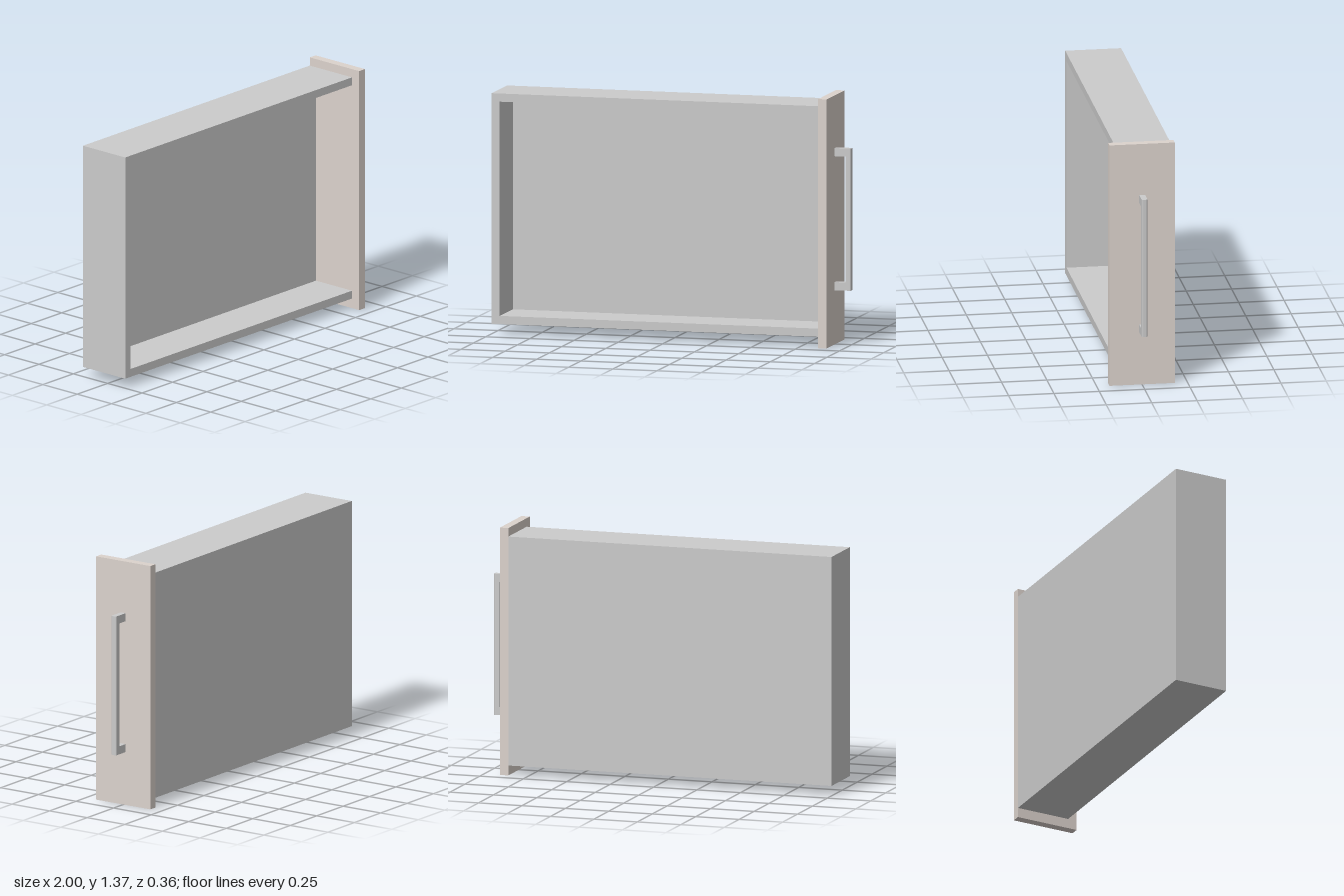
import * as THREE from 'three';

const grey = new THREE.MeshStandardMaterial({ color: 0xcccccc });
const beige = new THREE.MeshStandardMaterial({ color: 0xdcd3cd });

// Box given by its lower and upper corners
function slab(name, [x0, y0, z0], [x1, y1, z1], material = grey) {
  const mesh = new THREE.Mesh(new THREE.BoxGeometry(x1 - x0, y1 - y0, z1 - z0), material);
  mesh.name = name;
  mesh.position.set((x0 + x1) / 2, (y0 + y1) / 2, (z0 + z1) / 2);
  return mesh;
}

// Open tray lying on its side, opening towards +z
function createTray() {
  const x0 = -1, x1 = 0.86, y0 = 0.055, y1 = 1.323, z0 = -0.18, z1 = 0.128, t = 0.045;
  const rim = new THREE.Shape([
    [x0, y0], [x1, y0], [x1, y0 + t], [x0 + t, y0 + t],
    [x0 + t, y1 - t], [x1, y1 - t], [x1, y1], [x0, y1],
  ].map(([x, y]) => new THREE.Vector2(x, y)));
  const walls = new THREE.Mesh(
    new THREE.ExtrudeGeometry(rim, { depth: z1 - z0 - t, bevelEnabled: false }), grey);
  walls.name = 'drawerWalls';
  walls.position.z = z0 + t;

  const tray = new THREE.Group();
  tray.name = 'drawerTray';
  tray.add(walls, slab('drawerBottom', [x0, y0, z0], [x1, y1, z0 + t]));
  return tray;
}

// Pull handle: a bar with softened outer edges on two short legs
function createHandle() {
  const y0 = 0.298, y1 = 1.08, w = 0.016, inner = 0.968, outer = 1, r = 0.009;
  const section = new THREE.Shape();
  section.moveTo(inner, -w);
  section.lineTo(outer - r, -w);
  section.quadraticCurveTo(outer, -w, outer, -w + r);
  section.lineTo(outer, w - r);
  section.quadraticCurveTo(outer, w, outer - r, w);
  section.lineTo(inner, w);
  section.closePath();
  const bar = new THREE.Mesh(
    new THREE.ExtrudeGeometry(section, { depth: y1 - y0, bevelEnabled: false, curveSegments: 4 }), grey);
  bar.name = 'handleBar';
  bar.rotation.x = -Math.PI / 2;
  bar.position.y = y0;

  const handle = new THREE.Group();
  handle.name = 'handle';
  handle.add(bar);
  for (const y of [y0, y1 - 0.045]) {
    handle.add(slab('handleLeg', [0.908, y, -w], [inner, y + 0.045, w]));
  }
  return handle;
}

export function createModel() {
  const model = new THREE.Group();
  model.name = 'drawer';
  model.add(
    createTray(),
    slab('frontPanel', [0.86, 0, -0.18], [0.908, 1.37, 0.18], beige),
    createHandle(),
  );
  return model;
}
